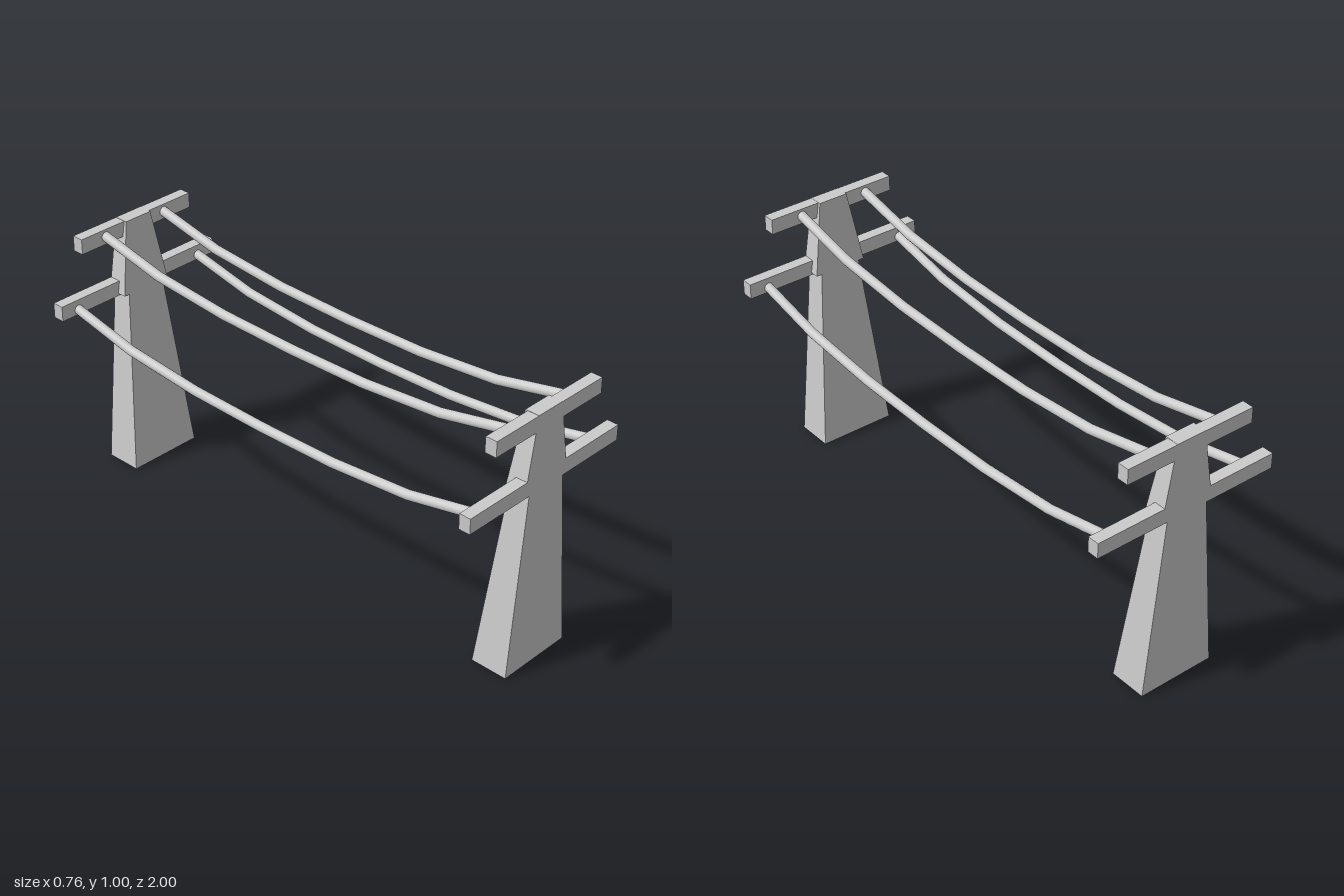
import * as THREE from 'three';

const material = new THREE.MeshStandardMaterial({ color: 0xcccccc });
const flat = new THREE.MeshStandardMaterial({ color: 0xcccccc, flatShading: true });

function addMesh(parent, name, geometry, mat = flat) {
  const mesh = new THREE.Mesh(geometry, mat);
  mesh.name = name;
  parent.add(mesh);
  return mesh;
}

// Tapered block: upright outer face at z = 1, sloped sides and inner face
function taperedBlock(y0, half0, inner0, y1, half1, inner1) {
  const geometry = new THREE.BoxGeometry(1, 1, 1);
  const p = geometry.attributes.position;
  for (let i = 0; i < p.count; i++) {
    const top = p.getY(i) > 0;
    const half = top ? half1 : half0;
    const inner = top ? inner1 : inner0;
    p.setXYZ(i, Math.sign(p.getX(i)) * half, top ? y1 : y0, p.getZ(i) > 0 ? 1 : inner);
  }
  geometry.computeVertexNormals();
  return geometry;
}

function createTower(name) {
  const tower = new THREE.Group();
  tower.name = name;
  addMesh(tower, 'lowerMast', taperedBlock(0, 0.155, 0.853, 0.74, 0.083, 0.921));
  addMesh(tower, 'upperMast', taperedBlock(0.72, 0.108, 0.918, 1.005, 0.06, 0.944));
  // Crossarms, flush with the outer face
  for (const [armName, width, y] of [['lowerCrossarm', 0.76, 0.74], ['upperCrossarm', 0.534, 0.974]]) {
    addMesh(tower, armName, new THREE.BoxGeometry(width, 0.06, 0.046)).position.set(0, y, 0.977);
  }
  return tower;
}

// Sagging cable made of six straight pieces
function createCable(x, lowY) {
  const sag = [[-0.975, 0.1], [-0.672, 0.035], [-0.335, 0.006], [0, 0], [0.335, 0.006], [0.672, 0.035], [0.975, 0.1]];
  const curve = new THREE.CatmullRomCurve3(sag.map(([z, dy]) => new THREE.Vector3(x, lowY + dy, z)));
  curve.getPointAt = (u, target) => curve.getPoint(u, target); // keep the bends at the given points
  return new THREE.TubeGeometry(curve, sag.length - 1, 0.0185, 16, false);
}

export function createModel() {
  const model = new THREE.Group();
  model.name = 'powerLine';

  model.add(createTower('frontTower'));
  const back = createTower('backTower');
  back.rotation.y = Math.PI;
  model.add(back);

  const cables = [
    ['upperLeftCable', 0.135, 0.88], ['upperRightCable', -0.152, 0.88],
    ['lowerLeftCable', 0.3, 0.634], ['lowerRightCable', -0.302, 0.634],
  ];
  for (const [name, x, y] of cables) addMesh(model, name, createCable(x, y), material);

  return model;
}
